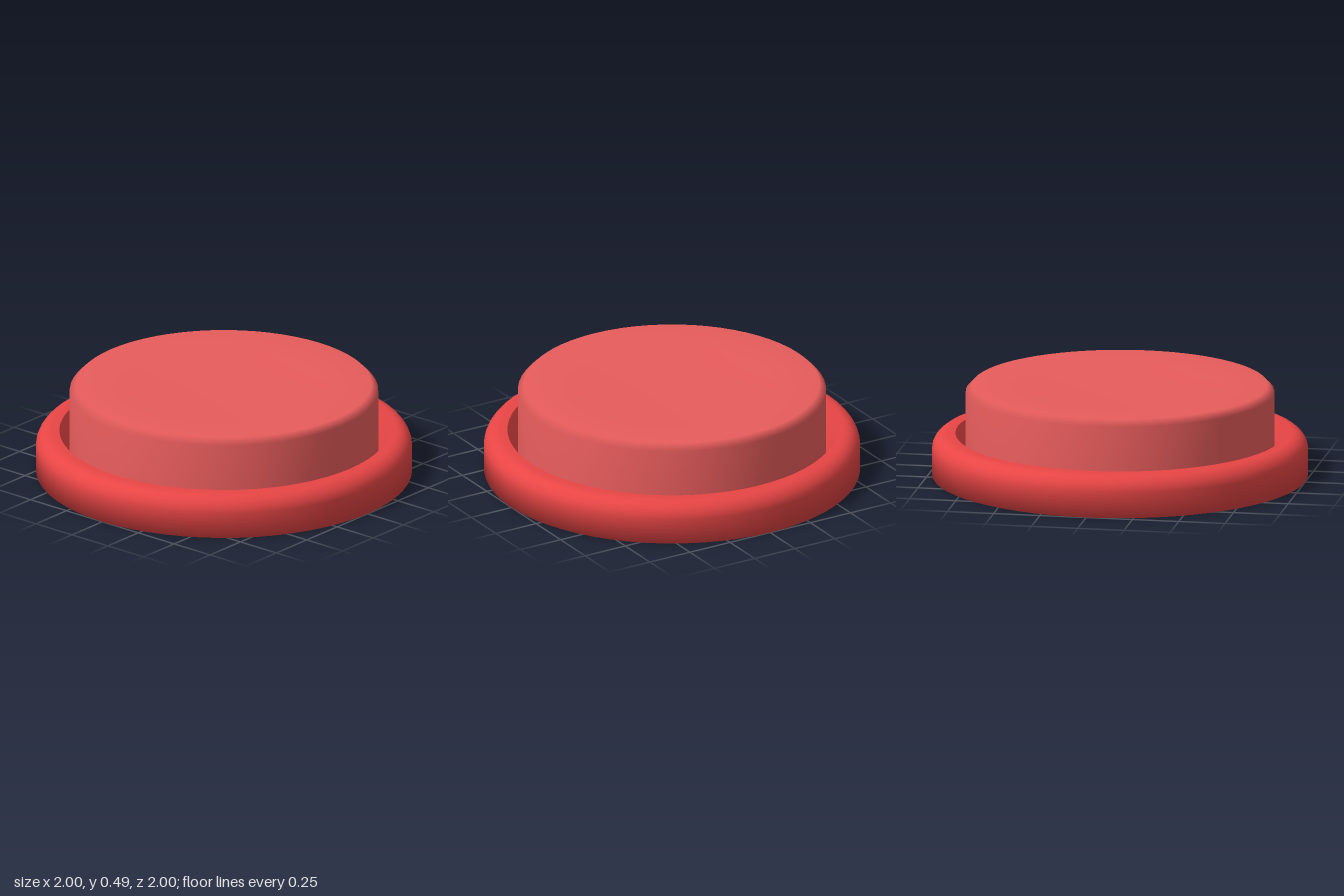
import * as THREE from 'three';

const SEGMENTS = 64;

// Revolve a profile of [radius, height] pairs around the y axis
function turned(name, profile, material) {
  const points = profile.map(([r, y]) => new THREE.Vector2(r, y));
  const mesh = new THREE.Mesh(new THREE.LatheGeometry(points, SEGMENTS), material);
  mesh.name = name;
  return mesh;
}

export function createModel() {
  const group = new THREE.Group();
  group.name = 'pushButton';
  const baseRed = new THREE.MeshStandardMaterial({ color: 0xe84545 });
  const capRed = new THREE.MeshStandardMaterial({ color: 0xe85c5c });

  // Base: flat underside, straight wall and rounded upper shoulder
  const base = [[0, 0], [0.8, 0], [1, 0]];
  const bevel = 0.085, height = 0.225, steps = 6;
  for (let i = 0; i <= steps; i++) {
    const a = (i / steps) * Math.PI / 2;
    base.push([1 - bevel + bevel * Math.cos(a), height - bevel + bevel * Math.sin(a)]);
  }
  base.push([0.875, height]);
  group.add(turned('baseRing', base, baseRed));

  // Steep slope inside the rim, running down to the cap
  group.add(turned('innerSlope', [[0.875, height], [0.81, 0.08]], baseRed));

  // Cap: straight wall, small chamfer and a slightly dished top
  group.add(turned('buttonCap', [
    [0.82, 0.06], [0.82, 0.455], [0.785, 0.49],
    [0.55, 0.479], [0.28, 0.47], [0.1, 0.467], [0, 0.467],
  ], capRed));

  return group;
}
